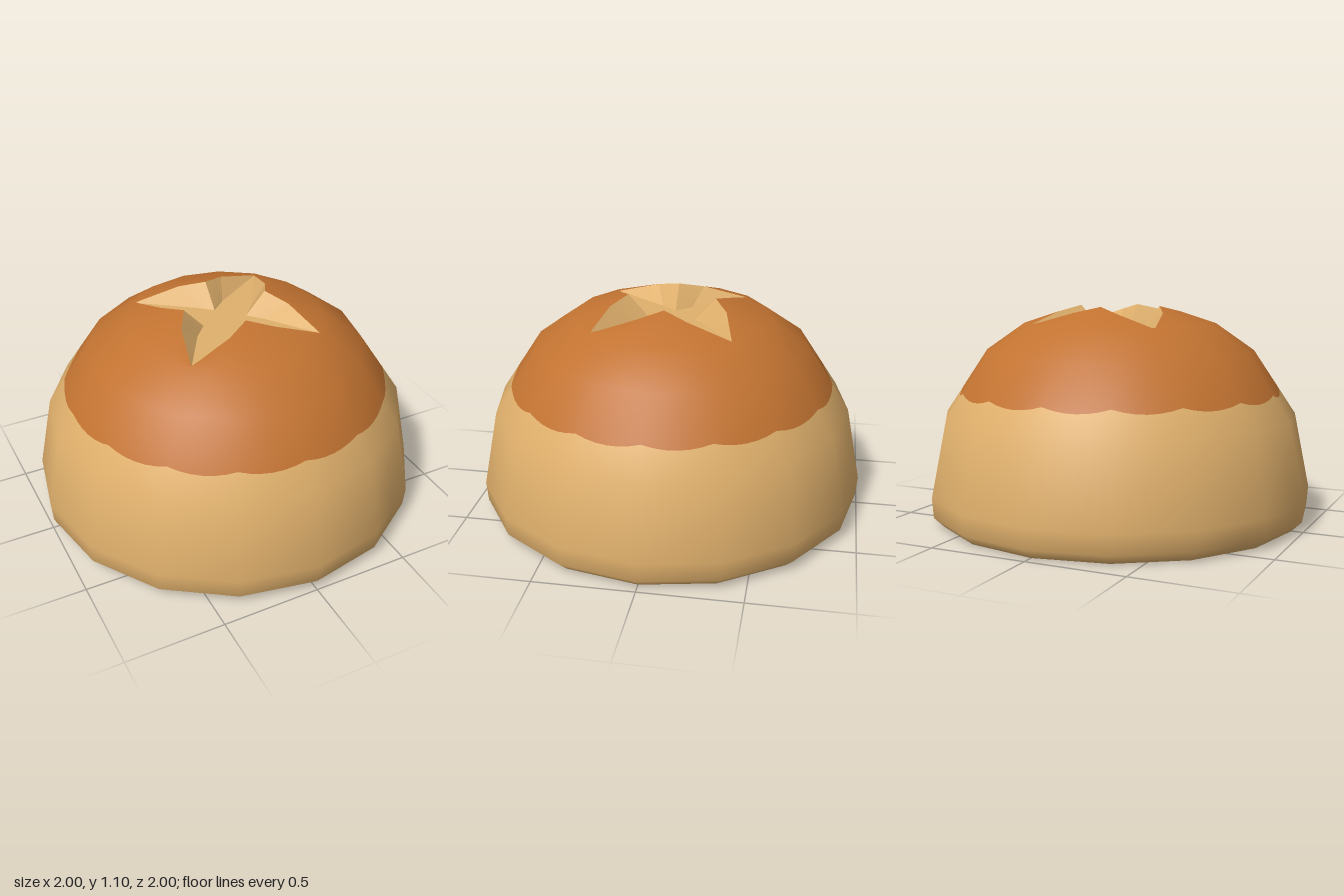
import * as THREE from 'three';

const SIDES = 16, SUB = 6, N = SIDES * SUB;

// A fine ring with straight edges between 16 corners; corner(k) gives [radius, height].
// The smooth normal leans by [outward, up].
function ring(corner, lean = [0, 1]) {
  const at = (k) => {
    const [r, y] = corner(k % SIDES);
    const a = (k % SIDES) * Math.PI * 2 / SIDES;
    return new THREE.Vector3(r * Math.cos(a), y, r * Math.sin(a));
  };
  const pts = [], nrm = [];
  for (let i = 0; i <= N; i++) {
    const k = Math.floor(i / SUB), a = i * Math.PI * 2 / N;
    pts.push(at(k).lerp(at(k + 1), (i % SUB) / SUB));
    nrm.push(new THREE.Vector3(lean[0] * Math.cos(a), lean[1], lean[0] * Math.sin(a)).normalize());
  }
  return { pts, nrm };
}
const round = (r, y, lean) => ring(() => [r, y], lean);

// Where the slope between two rings crosses a circle seen from above
function seamRing(lo, hi, radius) {
  const pts = [], nrm = [];
  lo.pts.forEach((p, i) => {
    const a = Math.hypot(p.x, p.z), b = Math.hypot(hi.pts[i].x, hi.pts[i].z);
    const t = (a - radius) / (a - b);
    pts.push(p.clone().lerp(hi.pts[i], t));
    nrm.push(lo.nrm[i].clone().lerp(hi.nrm[i], t).normalize());
  });
  return { pts, nrm };
}

// Skin a list of rings; faceted skins get one normal per face
function skin(name, rings, material, faceted = false) {
  const pos = [], nor = [], idx = [];
  rings.forEach((r, j) => {
    r.pts.forEach((p, i) => {
      pos.push(p.x, p.y, p.z);
      nor.push(r.nrm[i].x, r.nrm[i].y, r.nrm[i].z);
      if (j < rings.length - 1 && i < N) {
        const a = j * (N + 1) + i, b = a + N + 1;
        idx.push(a, b, a + 1, a + 1, b, b + 1);
      }
    });
  });
  let geo = new THREE.BufferGeometry();
  geo.setAttribute('position', new THREE.Float32BufferAttribute(pos, 3));
  geo.setAttribute('normal', new THREE.Float32BufferAttribute(nor, 3));
  geo.setIndex(idx);
  if (faceted) {
    geo = geo.toNonIndexed();
    geo.computeVertexNormals();
  }
  const mesh = new THREE.Mesh(geo, material);
  mesh.name = name;
  return mesh;
}

export function createModel() {
  const dough = new THREE.MeshStandardMaterial({ color: 0xe0b06c });
  dough.name = 'pale dough';
  const crust = new THREE.MeshStandardMaterial({ color: 0xc27331 });
  crust.name = 'baked crust';

  const bun = new THREE.Group();
  bun.name = 'bun';

  // Rings shared by the side and the crust
  const shoulder = round(0.92, 0.54, [0.92, 0.38]);
  const upper = round(0.70, 0.87, [0.7, 0.7]);
  const seam = seamRing(shoulder, upper, 0.832);

  // Pale side, rounded in at the foot
  bun.add(skin('side', [
    round(0.94, 0, [0.6, -0.8]),
    round(0.992, 0.05, [0.94, -0.3]),
    round(1, 0.15, [1, 0.05]),
    shoulder, seam,
  ], dough));

  // Brown underside
  bun.add(skin('base', [round(0, 0, [0, -1]), round(0.94, 0, [0, -1])], crust));

  // Four-pointed opening: corners on the axes, tips on the diagonals
  const star = (corner, middle, tip) => (k) => [corner, middle, tip, middle][k % 4];
  const rim = star([0.225, 1.1], [0.318, 1.07], [0.49, 1.004]);
  const floor = star([0.12, 0.985], [0.205, 0.985], [0.488, 1.002]);

  // Brown crust down to the wavy seam
  bun.add(skin('crust', [
    seam, upper,
    round(0.5, 1.01, [0.42, 0.9]),
    ring(rim, [0.25, 0.97]),
  ], crust));

  // Cross cut: sloping walls and a gently raised floor
  bun.add(skin('cutWalls', [ring(rim), ring(floor)], dough, true));
  bun.add(skin('cutFloor', [ring(floor), round(0, 1.0)], dough));

  return bun;
}
